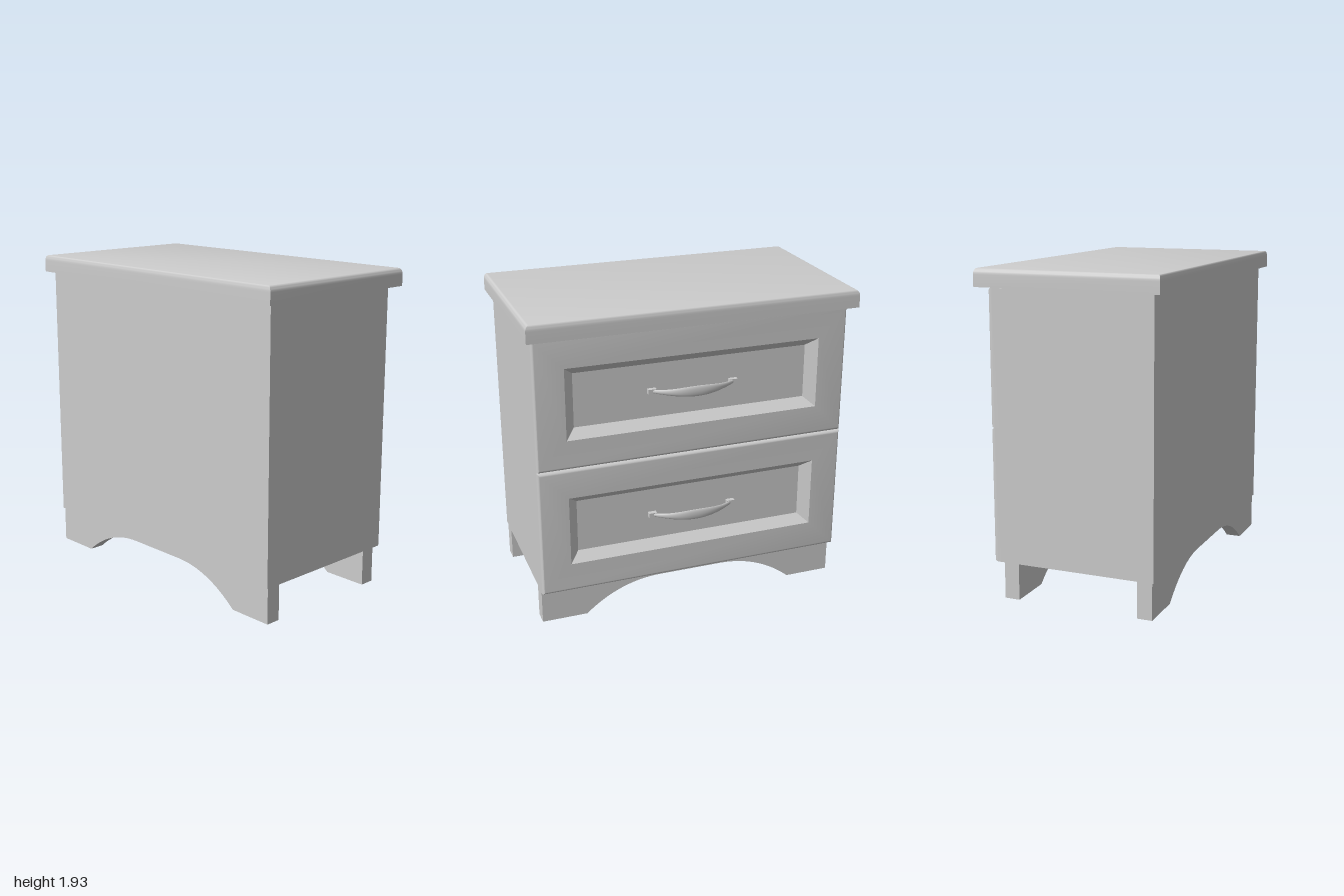
import * as THREE from 'three';
import { toCreasedNormals } from 'three/addons/utils/BufferGeometryUtils.js';

const material = new THREE.MeshStandardMaterial({ color: 0xcccccc });

function addMesh(parent, geometry, name, x = 0, y = 0, z = 0) {
  const mesh = new THREE.Mesh(geometry, material);
  mesh.name = name;
  mesh.position.set(x, y, z);
  parent.add(mesh);
  return mesh;
}

// Closed solid through rectangular rings [height, halfX, halfZ] stacked along y
function rectLoft(rings) {
  const pos = [], index = [];
  rings.forEach(([h, a, b]) => pos.push(a, h, b, a, h, -b, -a, h, -b, -a, h, b));
  for (let r = 0; r < rings.length - 1; r++) {
    for (let i = 0; i < 4; i++) {
      const a = r * 4 + i, b = r * 4 + (i + 1) % 4;
      index.push(a, b, b + 4, a, b + 4, a + 4);
    }
  }
  const t = (rings.length - 1) * 4;
  index.push(t, t + 1, t + 2, t, t + 2, t + 3, 0, 2, 1, 0, 3, 2);
  const g = new THREE.BufferGeometry();
  g.setAttribute('position', new THREE.Float32BufferAttribute(pos, 3));
  g.setIndex(index);
  return toCreasedNormals(g, 0.5);
}

// Quarter-round rings ending at height h
function roundedRings(h, a, b, rh, ra, rb, steps = 6) {
  return Array.from({ length: steps + 1 }, (_, i) => {
    const t = (i / steps) * Math.PI / 2;
    const inset = 1 - Math.cos(t);
    return [h - rh + rh * Math.sin(t), a - ra * inset, b - rb * inset];
  });
}

// Drawer front with rounded rim and sloped recessed panel, facing +x
function drawerGeometry() {
  return rectLoft([
    [0.40, 0.40, 0.96],
    ...roundedRings(0.49, 0.40, 0.96, 0.025, 0.02, 0.015),
    [0.49, 0.218, 0.78],
    [0.43, 0.165, 0.72],
  ]).rotateZ(-Math.PI / 2);
}

// Bowed grip, widest at its middle
function gripGeometry() {
  const g = new THREE.CylinderGeometry(1, 1, 0.5, 12, 28).rotateX(Math.PI / 2);
  const p = g.attributes.position;
  for (let i = 0; i < p.count; i++) {
    const t = Math.min(1, Math.abs(p.getZ(i)) / 0.25);
    const bow = 0.45 + 0.076 * (1 - t ** 2.4);
    const halfHeight = 0.011 + 0.021 * Math.cos(t * Math.PI / 2) ** 1.5;
    p.setXYZ(i, bow + p.getX(i) * 0.009, p.getY(i) * halfHeight, p.getZ(i));
  }
  g.computeVertexNormals();
  return g;
}

// Arched apron with a foot at each end, spanning z
function apronGeometry(thickness) {
  const s = new THREE.Shape();
  s.moveTo(-0.955, 0);
  s.lineTo(-0.675, 0);
  s.quadraticCurveTo(-0.46, 0.185, -0.2, 0.185);
  s.lineTo(0.2, 0.185);
  s.quadraticCurveTo(0.46, 0.185, 0.675, 0);
  s.lineTo(0.955, 0);
  s.lineTo(0.955, 0.22);
  s.lineTo(-0.955, 0.22);
  const g = new THREE.ExtrudeGeometry(s, { depth: thickness, bevelEnabled: false, curveSegments: 16 });
  g.translate(0, 0, -thickness / 2).rotateY(Math.PI / 2);
  return toCreasedNormals(g, 0.5);
}

export function createModel() {
  const model = new THREE.Group();
  model.name = 'nightstand';

  // Carcass
  addMesh(model, new THREE.BoxGeometry(0.91, 1.605, 1.92), 'cabinetBody', -0.055, 1.0225, 0);

  // Overhanging top with softened upper edge
  addMesh(model, rectLoft([
    [1.825, 0.557, 1],
    ...roundedRings(1.93, 0.557, 1, 0.035, 0.013, 0.022),
  ]), 'tableTop');

  // Drawers with handles
  const front = drawerGeometry(), grip = gripGeometry();
  const foot = new THREE.BoxGeometry(0.03, 0.03, 0.05);
  [['lower', 0.62], ['upper', 1.42]].forEach(([level, y]) => {
    const drawer = new THREE.Group();
    drawer.name = level + 'Drawer';
    drawer.position.y = y;
    addMesh(drawer, front, 'drawerFront');
    const handle = new THREE.Group();
    handle.name = 'handle';
    addMesh(handle, grip, 'grip');
    for (const side of [-1, 1]) addMesh(handle, foot, 'handleFoot', 0.443, 0, side * 0.253);
    drawer.add(handle);
    model.add(drawer);
  });

  // Arched bases under the drawer side and the back
  const apron = apronGeometry(0.092);
  addMesh(model, apron, 'frontBase', 0.38, 0, 0);
  addMesh(model, apron, 'backBase', -0.455, 0, 0);

  return model;
}
